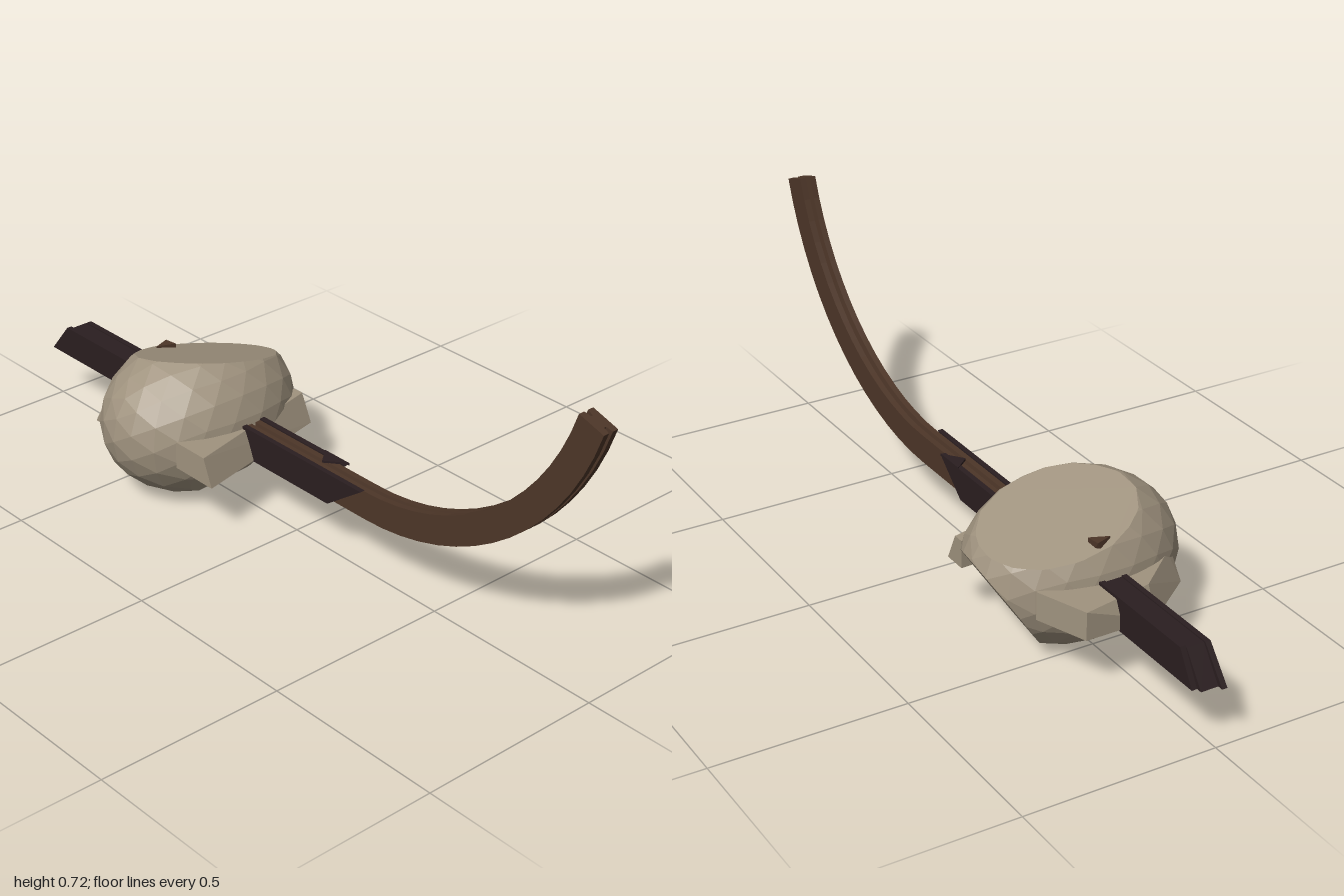
import * as THREE from 'three';
import { ConvexGeometry } from 'three/addons/geometries/ConvexGeometry.js';

const V = (x, y, z) => new THREE.Vector3(x, y, z);
const flat = (name, color) => {
  const m = new THREE.MeshStandardMaterial({ color, flatShading: true });
  m.name = name;
  return m;
};

// Cuts a convex solid with a plane and closes it again
function slice(geometry, point, normal) {
  const pos = geometry.attributes.position;
  const kept = new Map();
  const keep = (v) => kept.set(v.toArray().map((n) => n.toFixed(4)).join(), v);
  const side = (v) => normal.dot(v.clone().sub(point));
  for (let i = 0; i < pos.count; i += 3) {
    const tri = [0, 1, 2].map((k) => new THREE.Vector3().fromBufferAttribute(pos, i + k));
    tri.forEach((a, k) => {
      const b = tri[(k + 1) % 3];
      const da = side(a), db = side(b);
      if (da <= 0) keep(a);
      if (da * db < 0) keep((da < db ? a : b).clone().lerp(da < db ? b : a, Math.min(da, db) / (Math.min(da, db) - Math.max(da, db))));
    });
  }
  return new ConvexGeometry([...kept.values()]);
}

// Prism with a bottom outline and a top outline of [x, z] points
function block(bottom, top, y0, y1) {
  return new ConvexGeometry([
    ...bottom.map(([x, z]) => V(x, y0, z)),
    ...top.map(([x, z]) => V(x, y1, z)),
  ]);
}

// Side plate: [x, y] outline between two z values
function plate(outline, z0, z1) {
  const shape = new THREE.Shape(outline.map(([x, y]) => new THREE.Vector2(x, y)));
  return new THREE.ExtrudeGeometry(shape, { depth: z1 - z0, bevelEnabled: false }).translate(0, 0, z0);
}

export function createModel() {
  const group = new THREE.Group();
  const stone = flat('stone', 0xa0937f);
  const wood = flat('brown wood', 0x4d3628);
  const wrap = flat('dark wrap', 0x2a1e20);
  const add = (name, geometry, material) => {
    const mesh = new THREE.Mesh(geometry, material);
    mesh.name = name;
    group.add(mesh);
  };

  // Faceted boulder with chipped flat faces
  let rock = new THREE.IcosahedronGeometry(1, 3).scale(0.215, 0.21, 0.279).translate(-0.39, 0.195, 0);
  const cuts = [
    [V(-0.43, 0.37, 0.14), V(-0.22, 1, -0.235)],
    [V(-0.3, 0.018, 0), V(0.17, -0.11, -0.012)],
    [V(-0.35, 0.005, -0.1), V(0.03, -0.17, -0.255)],
    [V(-0.48, 0, 0), V(0.1, -1, 0)],
  ];
  for (const [point, normal] of cuts) rock = slice(rock, point, normal.normalize());
  add('boulder', rock, stone);

  // Stone lugs on both sides
  add('leftLug', block(
    [[-0.26, -0.22], [-0.195, -0.22], [-0.1, 0.195], [-0.24, 0.195]],
    [[-0.26, -0.22], [-0.23, -0.22], [-0.13, 0.195], [-0.24, 0.195]], 0.153, 0.227), stone);
  add('rightLug', block(
    [[-0.685, -0.14], [-0.685, 0.05], [-0.575, 0.195], [-0.53, 0.195], [-0.45, 0], [-0.55, -0.19]],
    [[-0.685, -0.14], [-0.65, 0.05], [-0.55, 0.17], [-0.53, 0.19], [-0.45, 0], [-0.55, -0.19]], 0.153, 0.227), stone);

  // Curved handle: straight grooved bar whose far end is bent into an arc
  const w = 0.0225, h = 0.0385, g = 0.006, d = 0.018;
  const profile = new THREE.Shape([
    [-w, -h], [-g, -h], [-g / 2, d - h], [g / 2, d - h], [g, -h], [w, -h],
    [w, h], [g, h], [g / 2, h - d], [-g / 2, h - d], [-g, h], [-w, h],
  ].map(([x, y]) => new THREE.Vector2(x, y)));
  const start = -0.55, bend = 0.26, radius = 0.735, sweep = 1.262;
  const handle = new THREE.ExtrudeGeometry(profile, {
    depth: bend - start + radius * sweep, steps: 28, bevelEnabled: false,
  }).rotateY(Math.PI / 2).translate(start, 0, -0.0125);
  const p = handle.attributes.position;
  for (let i = 0; i < p.count; i++) {
    const a = Math.max(0, (p.getX(i) - bend) / radius);
    const r = radius - p.getY(i);
    p.setX(i, Math.min(p.getX(i), bend) + r * Math.sin(a));
    p.setY(i, 0.193 + radius - r * Math.cos(a));
  }
  handle.computeVertexNormals();
  add('curvedHandle', handle, wood);

  // Dark cheeks along both sides of the handle, cut at a slant
  add('frontCheek', plate([[-1, 0.15], [0.14, 0.15], [0.26, 0.235], [-0.93, 0.235]], 0.01, 0.024), wrap);
  add('backCheek', plate([[-0.97, 0.15], [0.04, 0.15], [0.14, 0.235], [-0.92, 0.235]], -0.05, -0.035), wrap);
  add('cheekLip', block(
    [[0.05, -0.05], [0.14, -0.05], [0.085, -0.008]],
    [[0.05, -0.05], [0.14, -0.05], [0.085, -0.008]], 0.231, 0.237), wrap);

  // Solid slanted tail behind the boulder
  add('tail', plate([[-0.985, 0.15], [-0.5, 0.15], [-0.5, 0.232], [-0.925, 0.232]], -0.036, 0.011), wrap);

  // Wooden splinter showing through the top of the boulder
  add('splinter', block(
    [[-0.565, -0.005], [-0.55, 0.012], [-0.53, -0.04]],
    [[-0.565, -0.035], [-0.55, 0.008], [-0.53, -0.04]], 0.25, 0.317), wood);

  return group;
}
